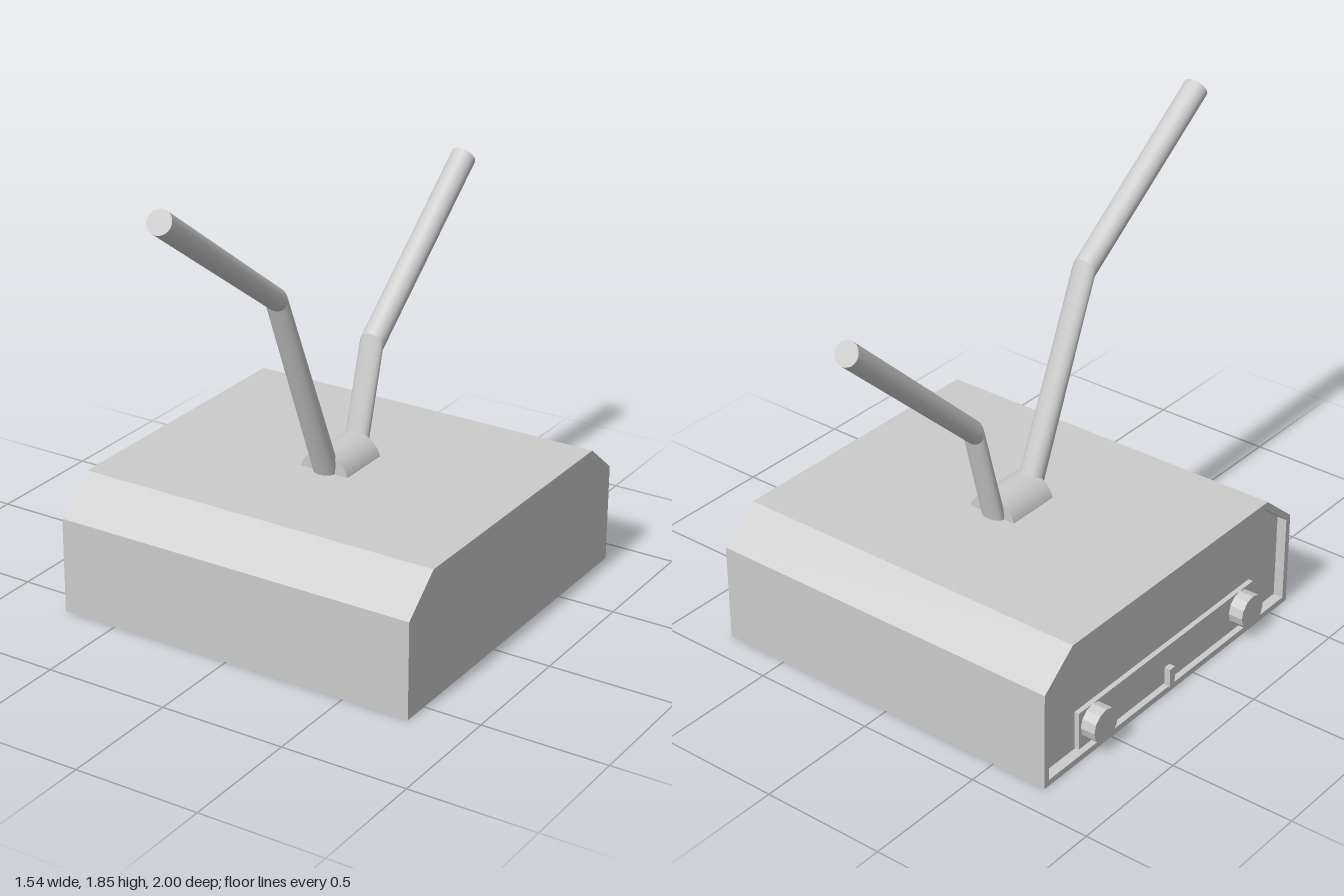
import * as THREE from 'three';

const grey = new THREE.MeshStandardMaterial({ color: 0xcccccc });
const faceted = new THREE.MeshStandardMaterial({ color: 0xcccccc, flatShading: true });

function add(parent, name, geometry, material = grey) {
  const mesh = new THREE.Mesh(geometry, material);
  mesh.name = name;
  parent.add(mesh);
  return mesh;
}

// Cabinet side outline as (z, y), inset by t
function outline(t) {
  const k = t * 0.45;
  return [
    [0.61 - t, t], [0.61 - t, 0.385 - k], [0.45 - k, 0.52 - t],
    [-0.73 + k, 0.52 - t], [-0.885 + t, 0.395 - k], [-0.885 + t, t],
  ].map(([z, y]) => new THREE.Vector2(z, y));
}

// Extrudes a (z, y) shape from xStart towards -x
function extrudeAlongX(shape, xStart, depth) {
  return new THREE.ExtrudeGeometry(shape, { depth, bevelEnabled: false })
    .rotateY(-Math.PI / 2).translate(xStart, 0, 0);
}

// Capped rod between two oval rings; each ring is { c: centre, u: [y, z] half-axis }
function rodGeometry(a, b, side, rx = 0.05, n = 24) {
  const pos = [], index = [];
  const ring = ({ c, u }) => {
    for (let j = 0; j < n; j++) {
      const t = (j / n) * Math.PI * 2;
      pos.push(c[0] + side * rx * Math.cos(t), c[1] + u[0] * Math.sin(t), c[2] + u[1] * Math.sin(t));
    }
  };
  [a, b, a, b].forEach(ring);
  for (let j = 0; j < n; j++) {
    const k = (j + 1) % n;
    index.push(j, k, n + k, j, n + k, n + j);
    if (j > 0 && j < n - 1) {
      index.push(2 * n, 2 * n + j + 1, 2 * n + j);
      index.push(3 * n, 3 * n + j, 3 * n + j + 1);
    }
  }
  const g = new THREE.BufferGeometry();
  g.setAttribute('position', new THREE.Float32BufferAttribute(pos, 3));
  g.setIndex(index);
  g.computeVertexNormals();
  return g;
}

function antenna(name, rings, side) {
  const group = new THREE.Group();
  group.name = name;
  add(group, 'lowerRod', rodGeometry(rings[0], rings[1], side));
  add(group, 'upperRod', rodGeometry(rings[1], rings[2], side));
  return group;
}

export function createModel() {
  const model = new THREE.Group();
  model.name = 'televisionSet';

  // Cabinet with a raised rim around the recessed screen side (-x)
  add(model, 'cabinet', extrudeAlongX(new THREE.Shape(outline(0)), 0.77, 1.46));
  const rim = new THREE.Shape(outline(0));
  rim.holes.push(new THREE.Path(outline(0.025).reverse()));
  add(model, 'screenRim', extrudeAlongX(rim, -0.69, 0.04));

  // Control strip, slider and knobs
  add(model, 'controlStrip', new THREE.BoxGeometry(0.03, 0.155, 1.07)).position.set(-0.695, 0.108, -0.13);
  add(model, 'slider', new THREE.BoxGeometry(0.05, 0.08, 0.03)).position.set(-0.71, 0.06, -0.14);
  for (const z of [-0.587, 0.318]) {
    const knob = new THREE.CylinderGeometry(0.068, 0.068, 0.08, 12).rotateZ(Math.PI / 2);
    add(model, 'knob', knob, faceted).position.set(-0.73, 0.118, z);
  }

  // Half-round antenna mount, sunk into the cabinet top
  const mount = new THREE.CylinderGeometry(0.108, 0.108, 0.23, 32).rotateX(Math.PI / 2);
  add(model, 'antennaMount', mount).position.set(0.018, 0.49, -0.135);

  // Bent antennas
  model.add(antenna('frontAntenna', [
    { c: [0.018, 0.5, -0.045], u: [0, 0.05] },
    { c: [0.018, 1.312, 0.295], u: [-0.0425, 0.01] },
    { c: [0.018, 1.805, 0.978], u: [-0.04, 0.0225] },
  ], -1));
  model.add(antenna('backAntenna', [
    { c: [0.01, 0.5, -0.245], u: [0, -0.032] },
    { c: [0.016, 0.92, -0.353], u: [-0.045, -0.0125] },
    { c: [0.045, 1.495, -0.97], u: [-0.04, -0.025] },
  ], 1));

  return model;
}
